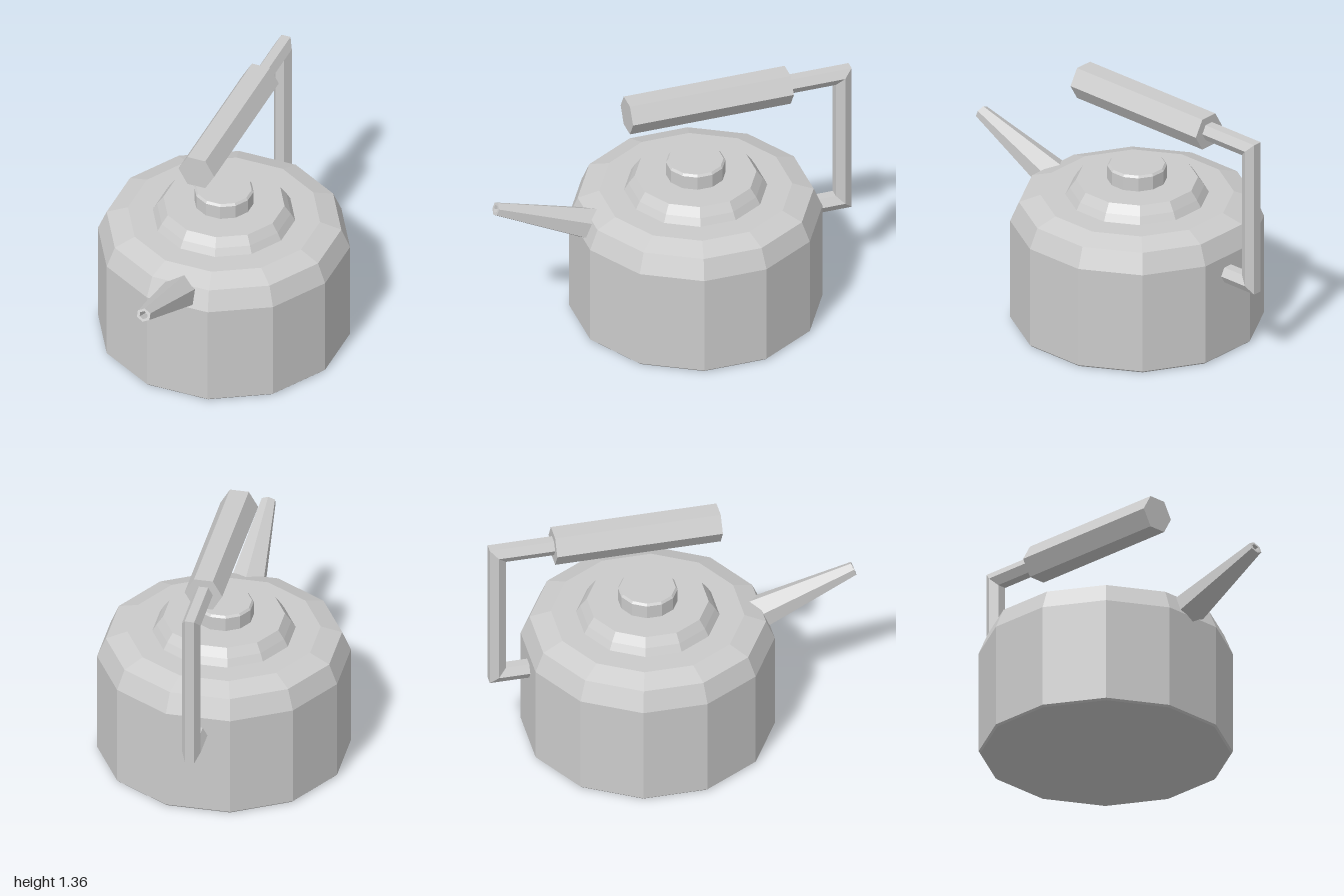
import * as THREE from 'three';

const material = new THREE.MeshStandardMaterial({
  color: 0xcccccc, flatShading: true, side: THREE.DoubleSide,
});
const AXIS_Z = -0.135; // the pot sits behind the origin, the spout reaches forward

function addMesh(parent, name, geometry) {
  const mesh = new THREE.Mesh(geometry, material);
  mesh.name = name;
  parent.add(mesh);
  return mesh;
}

// Faceted turning with flats facing the four axes; radii are measured to the flats
function turned(profile, sides) {
  const k = 1 / Math.cos(Math.PI / sides);
  const points = profile.map(([r, y]) => new THREE.Vector2(r * k, y));
  return new THREE.LatheGeometry(points, sides, Math.PI / sides);
}

// Hexagonal bar swept along a [y, z] path with mitred corners
function mitredBar(path, radius) {
  const pts = path.map(([y, z]) => new THREE.Vector2(y, z));
  const positions = [], index = [];
  const dir = (i) => pts[i + 1].clone().sub(pts[i]).normalize();
  pts.forEach((p, i) => {
    const before = dir(Math.max(i - 1, 0));
    const after = dir(Math.min(i, pts.length - 2));
    const n1 = new THREE.Vector2(-before.y, before.x);
    const n2 = new THREE.Vector2(-after.y, after.x);
    const mitre = n1.clone().add(n2).normalize();
    mitre.divideScalar(mitre.dot(n1));
    for (let j = 0; j < 6; j++) {
      const a = (j * Math.PI) / 3, s = radius * Math.sin(a);
      positions.push(radius * Math.cos(a), p.x + mitre.x * s, p.y + mitre.y * s);
    }
  });
  for (let i = 0; i < pts.length - 1; i++) {
    for (let j = 0; j < 6; j++) {
      const a = i * 6 + j, b = i * 6 + ((j + 1) % 6);
      index.push(a, b, a + 6, b, b + 6, a + 6);
    }
  }
  const geometry = new THREE.BufferGeometry();
  geometry.setAttribute('position', new THREE.Float32BufferAttribute(positions, 3));
  geometry.setIndex(index);
  geometry.computeVertexNormals();
  return geometry;
}

export function createModel() {
  const kettle = new THREE.Group();
  kettle.name = 'kettle';

  // Pot, lid and knob share one vertical axis
  const vessel = new THREE.Group();
  vessel.name = 'vessel';
  vessel.position.z = AXIS_Z;
  kettle.add(vessel);
  addMesh(vessel, 'body', turned([
    [0, 0], [0.64, 0], [0.65, 0.01], [0.65, 0.58], [0.605, 0.69], [0.495, 0.73], [0, 0.73],
  ], 12));
  addMesh(vessel, 'lid', turned([
    [0.37, 0.725], [0.345, 0.77], [0.312, 0.818], [0, 0.818],
  ], 12));
  addMesh(vessel, 'lidKnob', turned([
    [0.153, 0.81], [0.153, 0.895], [0.143, 0.907], [0, 0.907],
  ], 12));

  // Tapered hexagonal spout with a ridge on top and a hollow tip
  const spout = addMesh(kettle, 'spout', new THREE.LatheGeometry([
    [0, 0], [0.094, 0], [0.037, 0.6], [0.022, 0.6], [0.016, 0.53], [0, 0.53],
  ].map(([r, y]) => new THREE.Vector2(r, y)), 6));
  spout.position.set(0, 0.614, 0.425);
  spout.rotation.x = Math.atan2(0.93, 0.365);
  spout.scale.x = 1.12;

  // Handle frame rising from the back of the pot
  const handle = new THREE.Group();
  handle.name = 'handle';
  kettle.add(handle);
  addMesh(handle, 'handleFrame', mitredBar([
    [0.475, -0.74], [0.475, -0.955], [1.272, -0.955], [1.272, -0.62],
  ], 0.051));

  // Hexagonal grip above the lid
  const grip = new THREE.CylinderGeometry(0.102, 0.102, 0.9, 6, 1, false, Math.PI / 2);
  grip.rotateX(Math.PI / 2);
  addMesh(handle, 'handleGrip', grip).position.set(0, 1.27, -0.2);

  return kettle;
}
